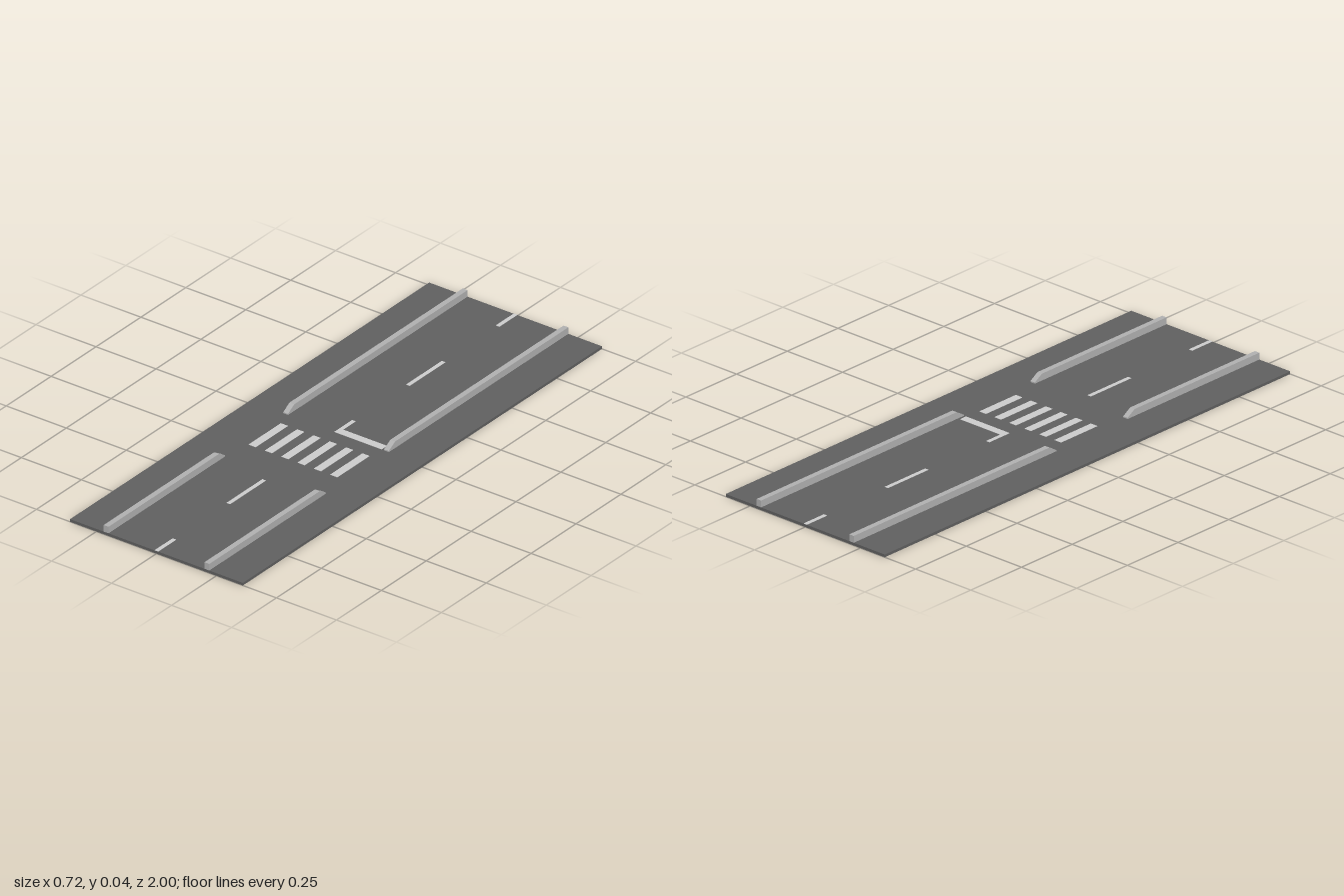
import * as THREE from 'three';

const ROAD_TOP = 0.01;
const asphalt = new THREE.MeshStandardMaterial({ color: 0x606060 });
const concrete = new THREE.MeshStandardMaterial({ color: 0xb0b0b0 });
const paint = new THREE.MeshStandardMaterial({ color: 0xcccccc });

// Box given by its x, y and z ranges
function slab(name, [x0, x1], [y0, y1], [z0, z1], material) {
  const mesh = new THREE.Mesh(new THREE.BoxGeometry(x1 - x0, y1 - y0, z1 - z0), material);
  mesh.position.set((x0 + x1) / 2, (y0 + y1) / 2, (z0 + z1) / 2);
  mesh.name = name;
  return mesh;
}

// Thin painted marking on the road surface
function marking(name, xRange, zRange) {
  return slab(name, xRange, [ROAD_TOP, ROAD_TOP + 0.001], zRange, paint);
}

// Kerb running from the crossing (rampZ) to the road end, ramped down at the crossing
function kerb(name, x, rampZ, endZ) {
  const dir = Math.sign(endZ - rampZ);
  const top = 0.035;
  const shape = new THREE.Shape([
    new THREE.Vector2(-rampZ, ROAD_TOP),
    new THREE.Vector2(-endZ, ROAD_TOP),
    new THREE.Vector2(-endZ, top),
    new THREE.Vector2(-rampZ - dir * 0.035, top),
    new THREE.Vector2(-rampZ, ROAD_TOP + 0.004),
  ]);
  const geometry = new THREE.ExtrudeGeometry(shape, { depth: 0.02, bevelEnabled: false });
  // Profile x becomes -z, extrusion becomes +x
  geometry.translate(0, 0, -0.01).rotateY(Math.PI / 2);
  const mesh = new THREE.Mesh(geometry, concrete);
  mesh.position.x = x;
  mesh.name = name;
  return mesh;
}

export function createModel() {
  const model = new THREE.Group();
  model.name = 'roadWithCrossing';

  // Road slab
  model.add(slab('roadSlab', [-0.36, 0.36], [0, ROAD_TOP], [-1, 1], asphalt));

  // Kerbs on both sides, before and after the crossing
  for (const [side, x] of [['left', 0.21], ['right', -0.21]]) {
    model.add(kerb(side + 'FrontKerb', x, 0.35, 1));
    model.add(kerb(side + 'BackKerb', x, 0, -1));
  }

  // Dashed centre line
  const centreLine = new THREE.Group();
  centreLine.name = 'centreLine';
  for (const zRange of [[-1, -0.9], [-0.6, -0.4], [-0.1, 0], [0.4, 0.6], [0.9, 1]]) {
    centreLine.add(marking('centreDash', [-0.0075, 0.0075], zRange));
  }
  model.add(centreLine);

  // Stop line across one lane
  model.add(marking('stopLine', [0.0075, 0.19], [-0.03, 0]));

  // Pedestrian crossing stripes
  const crossing = new THREE.Group();
  crossing.name = 'pedestrianCrossing';
  for (let i = 0; i < 6; i++) {
    const x = (i - 2.5) * 0.068;
    crossing.add(marking('crossingStripe', [x - 0.015, x + 0.015], [0.06, 0.24]));
  }
  model.add(crossing);

  return model;
}
